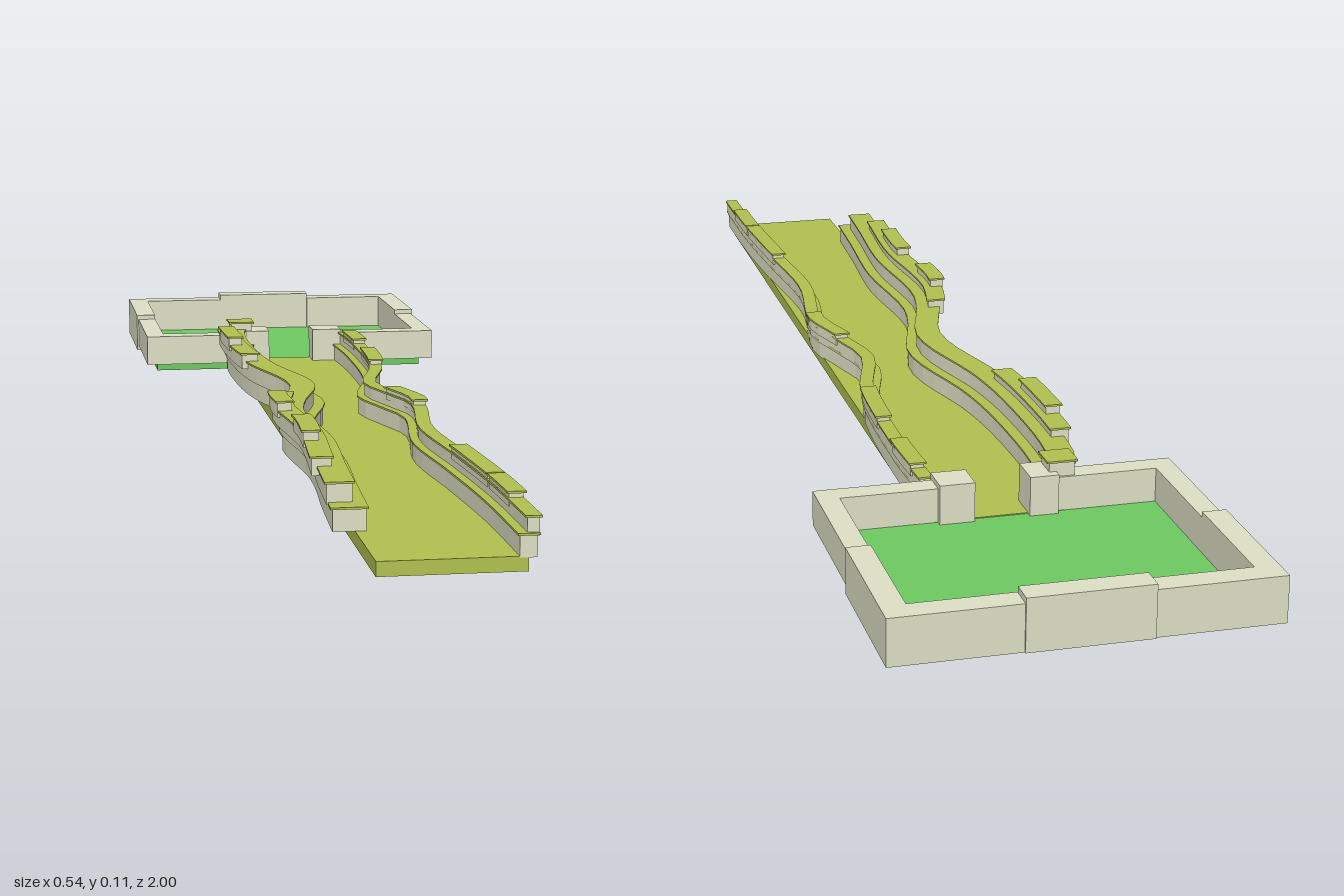
import * as THREE from 'three';

export function createModel() {
  const model = new THREE.Group();
  model.name = 'canyonPathAndArena';

  const mat = (name, color) => {
    const m = new THREE.MeshStandardMaterial({ color });
    m.name = name;
    return m;
  };
  const moss = mat('moss', 0xb0c04f);
  const grass = mat('grass', 0x6dc960);
  const stone = mat('stone', 0xdddfc4);

  // Box given by its limits on each axis
  function block(name, material, [x0, x1], [y0, y1], [z0, z1]) {
    const mesh = new THREE.Mesh(new THREE.BoxGeometry(x1 - x0, y1 - y0, z1 - z0), material);
    mesh.position.set((x0 + x1) / 2, (y0 + y1) / 2, (z0 + z1) / 2);
    mesh.name = name;
    model.add(mesh);
  }

  // Smooth interpolation of an edge line given as [z, x] points
  function edgeLine(points) {
    return (z) => {
      let i = 0;
      while (i < points.length - 2 && z > points[i + 1][0]) i++;
      const p = (k) => points[Math.min(Math.max(k, 0), points.length - 1)];
      const slope = (k) => (p(k + 1)[1] - p(k - 1)[1]) / (p(k + 1)[0] - p(k - 1)[0]);
      const [za, xa] = p(i), [zb, xb] = p(i + 1);
      const h = zb - za, t = (z - za) / h, t2 = t * t, t3 = t2 * t;
      return (2 * t3 - 3 * t2 + 1) * xa + (t3 - 2 * t2 + t) * h * slope(i)
        + (3 * t2 - 2 * t3) * xb + (t3 - t2) * h * slope(i + 1);
    };
  }

  // Winding slab that follows an edge line, between two offsets from it
  function slab(name, material, edge, [a, b], [y0, y1], [z0, z1]) {
    const n = Math.max(4, Math.round((z1 - z0) * 24));
    const near = [], far = [];
    for (let i = 0; i <= n; i++) {
      const z = z0 + (z1 - z0) * i / n;
      const x = edge(z);
      near.push(new THREE.Vector2(x + a, -z));
      far.unshift(new THREE.Vector2(x + b, -z));
    }
    const geo = new THREE.ExtrudeGeometry(new THREE.Shape([...near, ...far]), { depth: y1 - y0, bevelEnabled: false });
    geo.rotateX(-Math.PI / 2);
    const mesh = new THREE.Mesh(geo, material);
    mesh.position.y = y0;
    mesh.name = name;
    model.add(mesh);
  }

  // Stone ledge with a slightly overhanging mossy lid
  function ledge(name, edge, [a, b], [y0, y1], [z0, z1]) {
    const lip = 0.003, s = Math.sign(b - a);
    slab(name, stone, edge, [a, b], [y0, y1 - 0.003], [z0, z1]);
    slab(name + 'Lid', moss, edge, [a - s * lip, b + s * lip], [y1 - 0.003, y1], [z0 - lip, z1 + lip]);
  }

  // Ground
  block('pathFloor', moss, [-0.098, 0.098], [0, 0.02], [-0.58, 0.995]);
  block('arenaFloor', grass, [-0.247, 0.247], [0.003, 0.0185], [-0.965, -0.57]);

  // Cliff on the -x side
  const leftEdge = edgeLine([[-0.6, -0.055], [-0.5, -0.08], [-0.3, -0.082], [-0.15, -0.068], [0, -0.033],
    [0.08, -0.031], [0.2, -0.064], [0.3, -0.079], [0.5, -0.066], [0.7, -0.077], [0.85, -0.084]]);
  ledge('leftLowerLedge', leftEdge, [0, -0.045], [0.02, 0.053], [-0.55, 0.83]);
  ledge('leftMiddleLedge', leftEdge, [-0.015, -0.05], [0.05, 0.081], [-0.55, 0.8]);
  for (const range of [[-0.45, -0.18], [0.2, 0.7]])
    ledge('leftUpperLedge', leftEdge, [-0.033, -0.06], [0.068, 0.095], range);
  for (const range of [[-0.39, -0.27], [0.27, 0.36], [0.47, 0.59]])
    ledge('leftTopRock', leftEdge, [-0.042, -0.064], [0.085, 0.11], range);

  // Cliff on the +x side
  const rightEdge = edgeLine([[-0.56, 0.08], [-0.4, 0.086], [-0.15, 0.076], [0, 0.04], [0.1, 0.06],
    [0.2, 0.083], [0.4, 0.06], [0.6, 0.073], [0.8, 0.084], [1, 0.086]]);
  ledge('rightLowerLedge', rightEdge, [0, 0.023], [0.018, 0.05], [-0.535, 0.995]);
  ledge('rightMiddleLedge', rightEdge, [0.01, 0.026], [0.045, 0.072], [-0.535, 0.992]);
  for (const range of [[-0.5, -0.4], [-0.3, -0.17], [0.1, 0.22], [0.58, 0.77], [0.78, 0.89]])
    ledge('rightTopRock', rightEdge, [0.009, 0.029], [0.06, 0.081], range);

  // Arena walls: taller rear half, lower front half, raised middle block
  for (const s of [-1, 1]) {
    const span = (a, b) => (s > 0 ? [a, b] : [-b, -a]);
    block('rearSideWall', stone, span(0.235, 0.27), [0.01, 0.078], [-0.997, -0.768]);
    block('frontSideWall', stone, span(0.235, 0.267), [0.018, 0.07], [-0.768, -0.545]);
    block('backWall', stone, span(0.088, 0.235), [0.01, 0.078], [-0.997, -0.96]);
    block('frontWall', stone, span(0.085, 0.235), [0.018, 0.07], [-0.58, -0.545]);
  }
  block('backWallMiddle', stone, [-0.088, 0.088], [0.01, 0.087], [-1, -0.962]);

  // Gate posts
  block('rightGatePost', stone, [0.04, 0.092], [0.018, 0.078], [-0.59, -0.537]);
  block('leftGatePost', stone, [-0.085, -0.042], [0.018, 0.078], [-0.59, -0.533]);
  block('gateRock', stone, [-0.112, -0.074], [0.06, 0.092], [-0.576, -0.538]);
  block('gateRockLid', moss, [-0.116, -0.07], [0.092, 0.095], [-0.58, -0.534]);

  return model;
}
